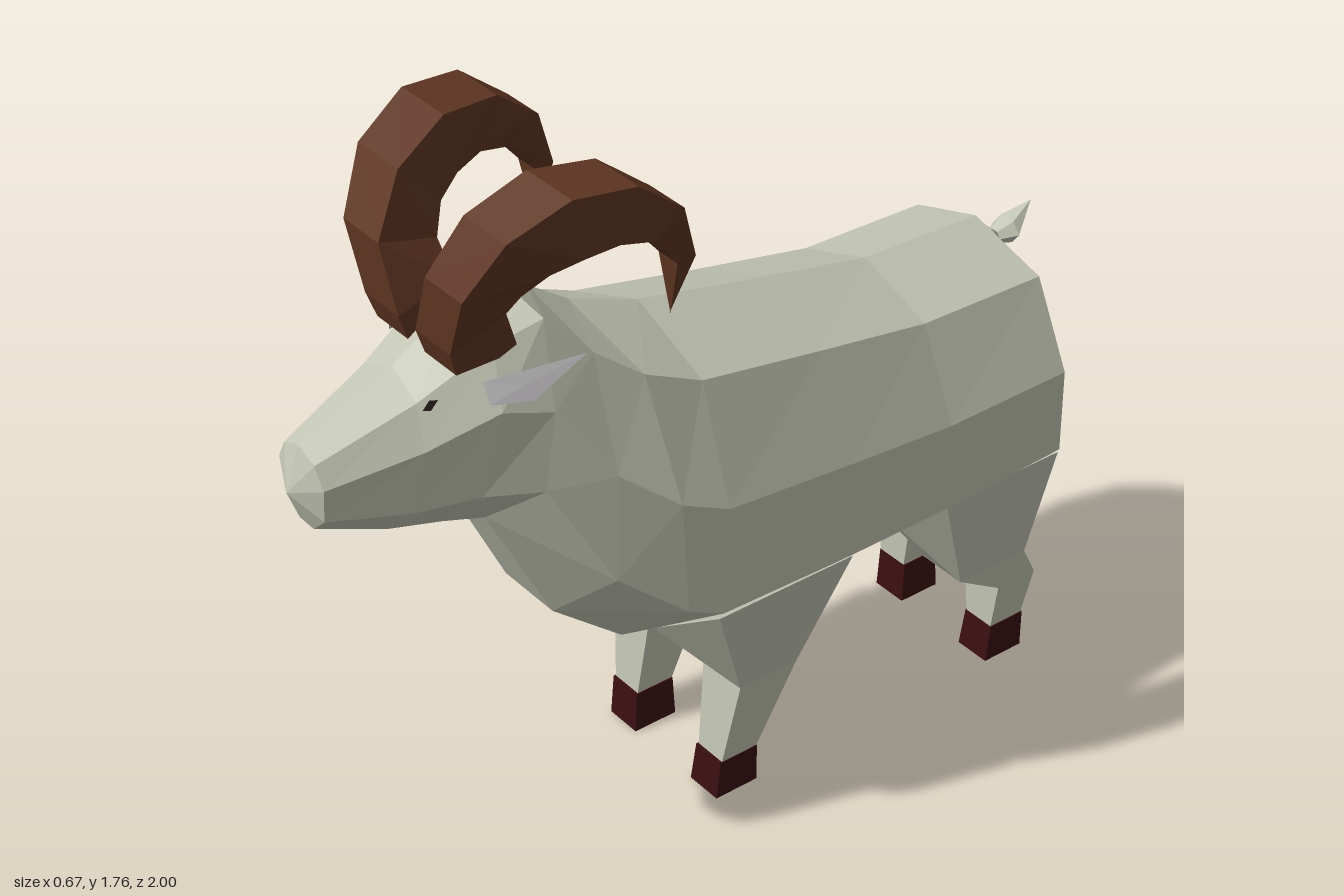
import * as THREE from 'three';

const { lerp, degToRad } = THREE.MathUtils;

const mat = (name, color, extra = {}) => {
  const m = new THREE.MeshStandardMaterial({ color, flatShading: true, ...extra });
  m.name = name;
  return m;
};

// Skins a list of equal-length rings; faces are turned away from the inside point.
function loft(rings, { start = true, end = true, inside } = {}) {
  const mean = (pts) => [0, 1, 2].map((k) => pts.reduce((s, p) => s + p[k], 0) / pts.length);
  const n = rings[0].length, tris = [];
  for (let i = 0; i < rings.length - 1; i++) {
    for (let j = 0; j < n; j++) {
      const k = (j + 1) % n, a = rings[i], b = rings[i + 1];
      tris.push([a[j], a[k], b[k]], [a[j], b[k], b[j]]);
    }
  }
  const fan = (ring, flip) => {
    const c = mean(ring);
    ring.forEach((p, j) => {
      const q = ring[(j + 1) % n];
      tris.push(flip ? [c, q, p] : [c, p, q]);
    });
  };
  if (start) fan(rings[0], true);
  if (end) fan(rings[rings.length - 1], false);
  const o = new THREE.Vector3(...(inside || mean(rings.flat())));
  let volume = 0;
  for (const t of tris) {
    const [a, b, c] = t.map((p) => new THREE.Vector3(...p).sub(o));
    volume += a.dot(b.cross(c));
  }
  if (volume < 0) tris.forEach((t) => t.reverse());
  const g = new THREE.BufferGeometry();
  g.setAttribute('position', new THREE.Float32BufferAttribute(tris.flat(2), 3));
  g.computeVertexNormals();
  return g;
}

// All points of a ring drawn together into one tip.
const tip = (p, n) => Array.from({ length: n }, () => p);

// Nine-sided body ring: ridge, shoulder, flank, lower side and belly, mirrored.
// The sides sit at fixed fractions of the way from ridge to belly.
function bodyRing([topY, topZ, bottomY, bottomZ, width, bend]) {
  const head = topZ > 0.55;
  const at = (x, f, back) => [x * width, lerp(topY, bottomY, f), lerp(topZ, bottomZ, f) - back];
  const half = [
    at(0.67, 0.11, bend), at(1, head ? 0.36 : 0.44, bend),
    at(head ? 0.88 : 1, 0.78, bend), at(0.32, 1, 0),
  ];
  return [at(0, 0, 0), ...half, ...half.toReversed().map(([x, y, z]) => [-x, y, z])];
}

// Box-like leg ring, level in y unless an inner height is given.
const legRing = (y, xIn, xOut, zFront, zBack, yIn = y) => [
  [xOut, y, zFront], [xOut, y, zBack], [xIn, yIn, zBack], [xIn, yIn, zFront],
];

// Horn section: the arc turns about a fixed centre while the inner edge closes on the outer.
function hornRing(t) {
  const a = degToRad(lerp(-18, 209, t));
  const near = 0.03 + 0.2 * t ** 0.7;
  const far = 0.15 + 0.155 * Math.sin((Math.PI * t) / 1.2);
  const inner = 0.12 + 0.142 * Math.max(0, (t - 0.45) / 0.55) ** 1.3;
  const at = (x, r) => [x, 1.5 + r * Math.sin(a), 0.45 + r * Math.cos(a)];
  return [at(near, 0.262), at(far, 0.262), at(far, inner), at(near, inner)];
}

export function createModel() {
  const model = new THREE.Group();
  model.name = 'hornedSheep';
  const coat = mat('coat', 0xc2c5b3);
  const pale = mat('pale hair', 0xcbc9cb, { side: THREE.DoubleSide });
  const horn = mat('horn', 0x5e3521);
  const hoof = mat('hoof', 0x3a0f11);
  const dark = mat('eye', 0x1c1512);

  const add = (name, geometry, material) => {
    const mesh = new THREE.Mesh(geometry, material);
    mesh.name = name;
    model.add(mesh);
  };
  // Builds a part on both sides; the callback gets a mirroring function.
  const pair = (name, material, build) => {
    for (const [side, s] of [['left', 1], ['right', -1]]) {
      const flip = (rings) => rings.map((r) => r.map(([x, y, z]) => [s * x, y, z]));
      add(side + name, build(flip, s), material);
    }
  };

  // Trunk, neck and head as one skin: ridge y, z, belly y, z, half width, bend
  const rings = [
    [1.12, -0.83, 0.5, -0.835, 0.305, 0.01],
    [1.13, -0.5, 0.475, -0.5, 0.305, 0],
    [1.19, -0.2, 0.47, -0.2, 0.318, 0],
    [1.26, 0.13, 0.48, 0.17, 0.335, 0],
    [1.33, 0.31, 0.5, 0.26, 0.318, 0.03],
    [1.4, 0.41, 0.635, 0.43, 0.268, 0.035],
    [1.47, 0.5, 0.935, 0.58, 0.21, 0.04],
    [1.435, 0.58, 0.965, 0.68, 0.187, 0.01],
    [1.335, 0.74, 0.99, 0.8, 0.14, 0],
    [1.24, 0.965, 1.05, 0.96, 0.082, 0],
  ].map(bodyRing);
  add('body', loft([...rings, tip([0, 1.14, 1], 9)], { start: false }), coat);

  // Pale rump fanning out from the tail
  add('rump', loft([rings[0], tip([0, 1.05, -0.86], 9)], { start: false, inside: [0, 0.8, 0] }), pale);

  // Tail: six-sided spindle rising to a point
  const tailRings = [
    [-0.83, 1.06, 0.04], [-0.87, 1.055, 0.035], [-0.89, 1.045, 0.022],
    [-0.93, 1.05, 0.042], [-1, 1.1, 0.001],
  ].map(([z, y, r]) => Array.from({ length: 6 }, (_, i) => {
    const a = (i * Math.PI) / 3;
    return [r * Math.cos(a), y + 0.75 * r * Math.sin(a), z];
  }));
  add('tail', loft(tailRings), coat);

  // Legs and hooves
  const frontLeg = [
    legRing(0.64, 0.1, 0.333, 0.17, -0.2, 0.475),
    legRing(0.32, 0.1, 0.232, 0.03, -0.13),
    legRing(0.1, 0.115, 0.2, 0.055, -0.045),
  ];
  const hindLeg = [
    legRing(0.63, 0.1, 0.305, -0.5, -0.84, 0.485),
    legRing(0.31, 0.1, 0.228, -0.63, -0.832),
    legRing(0.225, 0.1, 0.218, -0.765, -0.88),
    legRing(0.1, 0.115, 0.2, -0.765, -0.862),
  ];
  pair('FrontLeg', coat, (flip) => loft(flip(frontLeg)));
  pair('HindLeg', coat, (flip) => loft(flip(hindLeg)));
  for (const [name, zf, zb] of [['FrontHoof', 0.06, -0.045], ['HindHoof', -0.765, -0.865]]) {
    pair(name, hoof, (flip) => loft(flip([
      legRing(0.1, 0.112, 0.202, zf, zb),
      legRing(0, 0.105, 0.2, zf + 0.01, zb - 0.002),
    ])));
  }

  // Horns: a root sunk in the head, then seven curling segments
  const hornRings = [legRing(1.36, 0.03, 0.14, 0.68, 0.53)];
  hornRings[0] = [3, 0, 1, 2].map((i) => hornRings[0][i]);
  for (let i = 0; i <= 7; i++) hornRings.push(hornRing(i / 7));
  pair('Horn', horn, (flip) => loft(flip(hornRings)));

  // Ears: coat behind, pale inside
  const earRim = [[0.165, 1.34, 0.635], [0.18, 1.29, 0.63], [0.225, 1.295, 0.555], [0.275, 1.395, 0.46]];
  const earBack = [0.15, 1.31, 0.54];
  pair('Ear', coat, (flip) => loft(flip([earRim, tip(earBack, 4)]), { start: false }));
  pair('InnerEar', pale, (flip) =>
    loft(flip([earRim]), { start: false, inside: flip([[earBack]])[0][0] }));

  // Eyes: small diamonds lying on the cheek faces
  const cheek = (u, v) => [0, 1, 2].map((k) => {
    const top = lerp(rings[7][1][k], rings[8][1][k], u);
    const low = lerp(rings[7][2][k], rings[8][2][k], u);
    return lerp(top, low, v) + [0.005, 0.003, 0.002][k];
  });
  const eyeRim = [cheek(0.75, 0.2), cheek(0.85, 0.1), cheek(0.95, 0.2), cheek(0.85, 0.3)];
  pair('Eye', dark, (flip, s) => loft(flip([eyeRim]), { start: false, inside: [s * 0.02, 1.2, 0.65] }));

  return model;
}
